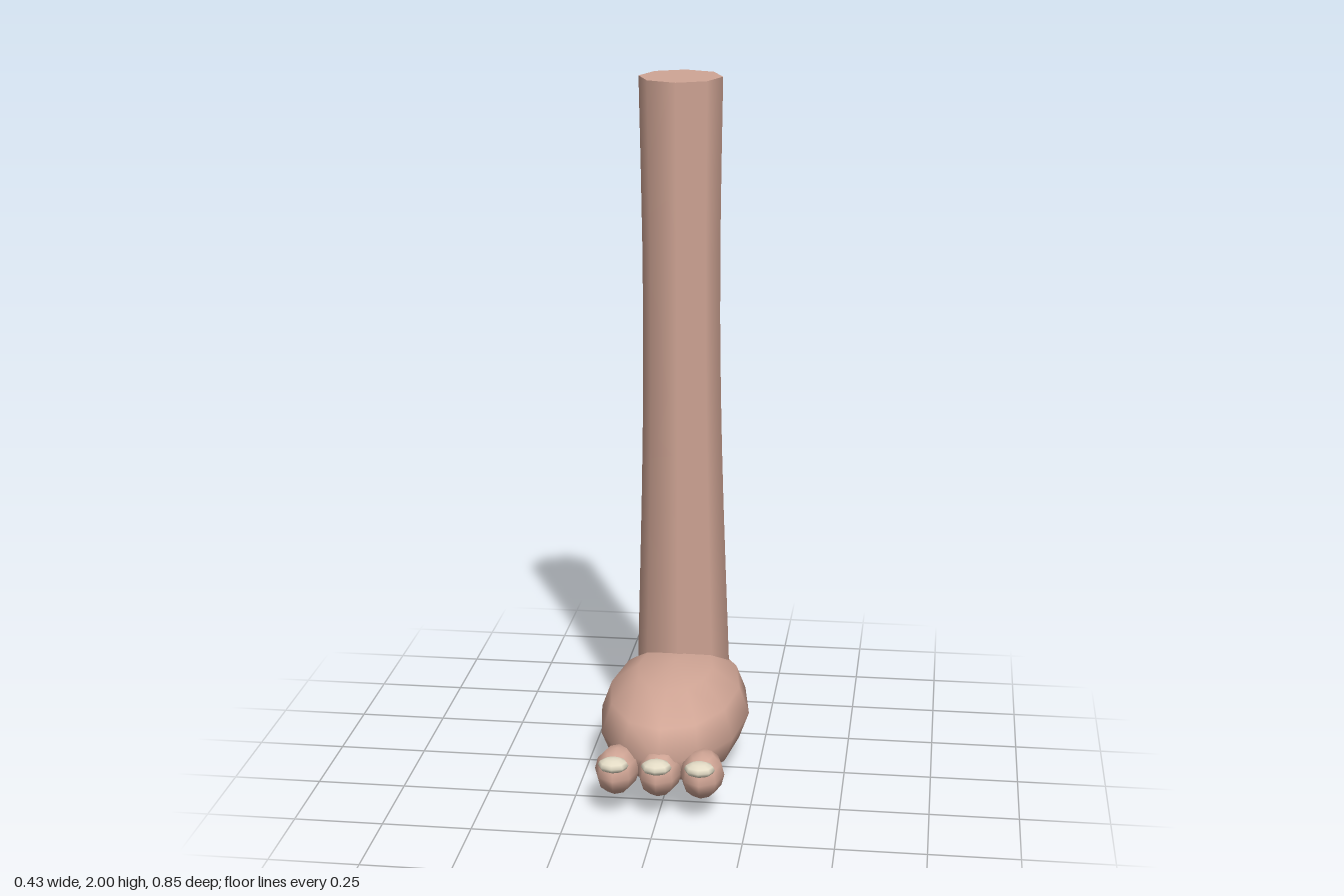
import * as THREE from 'three';

const skin = new THREE.MeshStandardMaterial({ color: 0xd0a595 });
const nail = new THREE.MeshStandardMaterial({ color: 0xe4dcc6 });

// Scaled low-poly ball
function ellipsoid(name, material, segments, rings, radii, position) {
  const geometry = new THREE.SphereGeometry(1, segments, rings);
  geometry.scale(...radii);
  const mesh = new THREE.Mesh(geometry, material);
  mesh.name = name;
  mesh.position.set(...position);
  return mesh;
}

// Eight-sided shaft that widens and drifts back towards the heel
function createLeg() {
  // each point holds radius, height and z of the centre line
  const profile = new THREE.CatmullRomCurve3([
    [0.14, 0.16, -0.238],
    [0.134, 0.35, -0.226],
    [0.121, 0.75, -0.203],
    [0.113, 1.1, -0.186],
    [0.111, 1.5, -0.168],
    [0.118, 1.995, -0.152],
  ].map((p) => new THREE.Vector3(...p)));
  const lean = 0.04;
  const geometry = new THREE.CylinderGeometry(1, 1, 1, 8, 10);
  const pos = geometry.attributes.position;
  for (let i = 0; i < pos.count; i++) {
    const p = profile.getPoint(THREE.MathUtils.clamp(pos.getY(i) + 0.5, 0, 1));
    const dz = pos.getZ(i) * p.x;
    pos.setXYZ(i, pos.getX(i) * p.x, p.y - dz * lean, p.z + dz);
  }
  const leg = new THREE.Mesh(geometry, skin);
  leg.name = 'leg';
  return leg;
}

export function createModel() {
  const model = new THREE.Group();
  model.name = 'legAndFoot';
  model.add(createLeg());
  model.add(ellipsoid('foot', skin, 12, 6, [0.217, 0.158, 0.393], [0, 0.16, -0.035]));

  // Three toes, each with a nail on its tip
  ['rightToe', 'middleToe', 'leftToe'].forEach((name, i) => {
    const x = (i - 1) * 0.12;
    const toe = new THREE.Group();
    toe.name = name;
    toe.add(
      ellipsoid('toePad', skin, 8, 6, [0.062, 0.064, 0.09], [x, 0.122, 0.32]),
      ellipsoid('toenail', nail, 8, 6, [0.043, 0.02, 0.037], [x, 0.165, 0.389]),
    );
    model.add(toe);
  });
  return model;
}
